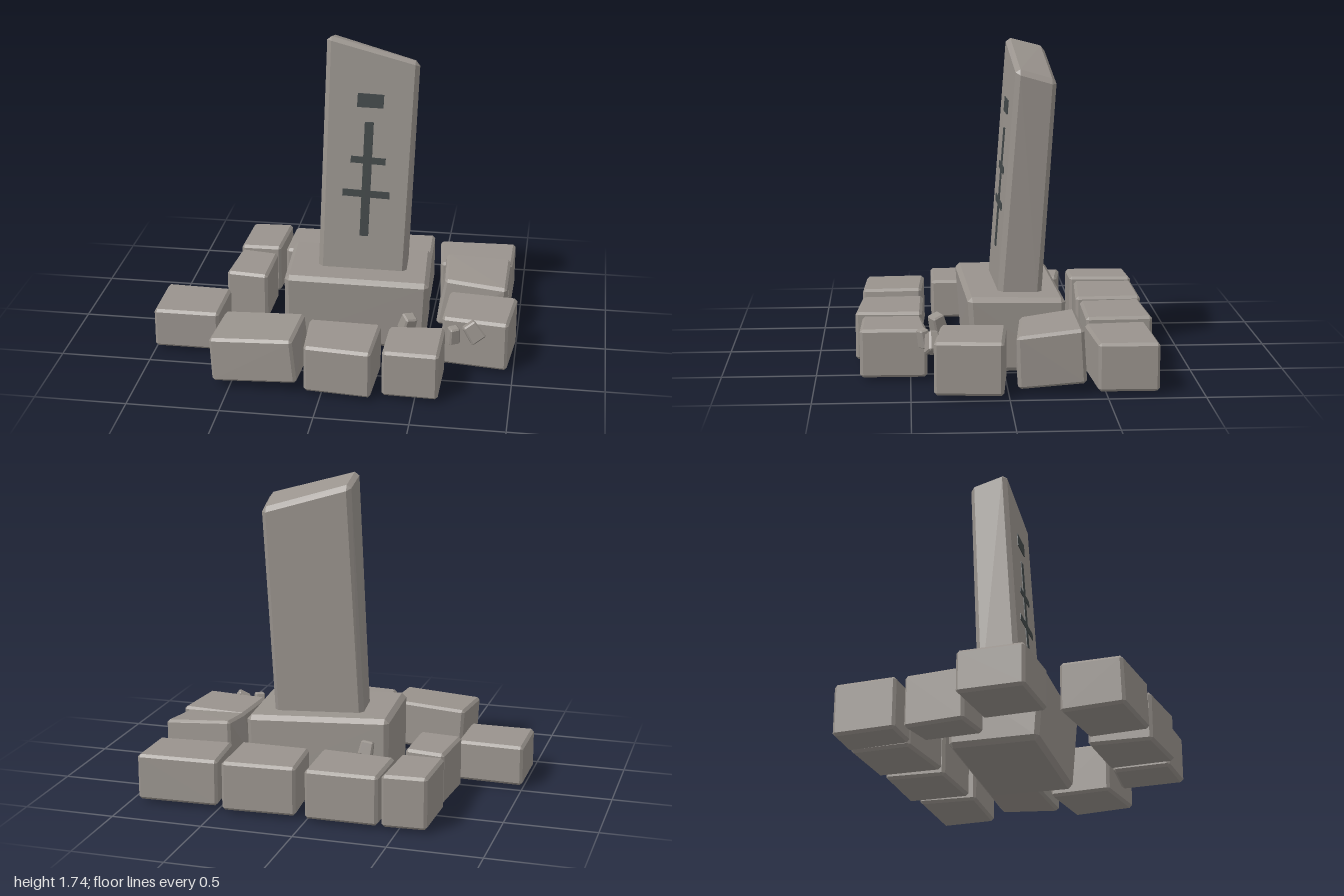
import * as THREE from 'three';
import { ConvexGeometry } from 'three/addons/geometries/ConvexGeometry.js';

const stone = new THREE.MeshStandardMaterial({ color: 0x99938d });
stone.name = 'stone';
const carving = new THREE.MeshStandardMaterial({ color: 0x424849 });
carving.name = 'carved mark';

// Bevelled six-sided block. Quads are [x, z] corners in plan:
// back -x, back +x, front +x, front -x; heights are one number or one per corner.
function blockGeometry(top, topY, bottom, bottomY, bevel) {
  const ring = (quad, y) => quad.map(([x, z], i) => new THREE.Vector3(x, Array.isArray(y) ? y[i] : y, z));
  const hi = ring(top, topY), lo = ring(bottom, bottomY);
  const mix = (a, b, t) => a.clone().lerp(b, t);
  const layer = (q, u, w) => mix(mix(q[0], q[1], u), mix(q[3], q[2], u), w);
  const at = (u, v, w) => mix(layer(lo, u, w), layer(hi, u, w), v);
  const bu = bevel / hi[0].distanceTo(hi[1]);
  const bv = bevel / hi[0].distanceTo(lo[0]);
  const bw = bevel / hi[0].distanceTo(hi[3]);
  const inset = (s, b) => (s ? 1 - b : b);
  const points = [];
  for (const u of [0, 1]) for (const v of [0, 1]) for (const w of [0, 1]) {
    const iu = inset(u, bu), iv = inset(v, bv), iw = inset(w, bw);
    points.push(at(u, iv, iw), at(iu, v, iw), at(iu, iv, w));
  }
  return new ConvexGeometry(points);
}

function block(name, top, topY, bottom = top, bottomY = 0.02, bevel = 0.015) {
  const mesh = new THREE.Mesh(blockGeometry(top, topY, bottom, bottomY, bevel), stone);
  mesh.name = name;
  return mesh;
}

// Small tumbled fragment
function fragment(name, size, position, rotation) {
  const [w, h, d] = size.map((s) => s / 2);
  const quad = [[-w, -d], [w, -d], [w, d], [-w, d]];
  const mesh = block(name, quad.map(([x, z]) => [x * 0.85, z * 0.85]), h, quad, -h, 0.008);
  mesh.position.set(...position);
  mesh.rotation.set(...rotation);
  return mesh;
}

export function createModel() {
  const model = new THREE.Group();
  model.name = 'stoneMonument';

  // Pedestal and leaning pillar with a slanted top
  model.add(block('pedestal',
    [[-0.315, -0.285], [0.485, -0.33], [0.515, 0.195], [-0.285, 0.24]], [0.43, 0.40, 0.415, 0.44],
    [[-0.31, -0.28], [0.475, -0.325], [0.495, 0.165], [-0.29, 0.21]], [0.02, 0, 0, 0.02], 0.025));
  model.add(block('pillar',
    [[-0.09, -0.255], [0.40, -0.285], [0.42, -0.067], [-0.085, -0.04]], [1.70, 1.55, 1.615, 1.755],
    [[-0.147, -0.18], [0.36, -0.21], [0.37, 0.028], [-0.122, 0.058]], 0.38, 0.025));

  // Ring of paving stones
  const paving = new THREE.Group();
  paving.name = 'pavingStones';
  const flat = [
    ['backStone1', [[-0.655, -0.785], [-0.415, -0.797], [-0.43, -0.44], [-0.665, -0.435]], 0.305],
    ['backStone2', [[-0.395, -0.795], [0, -0.797], [0.01, -0.43], [-0.40, -0.46]], 0.29],
    ['backStone3', [[0.055, -0.78], [0.46, -0.80], [0.47, -0.44], [0.08, -0.445]], 0.29],
    ['backStone4', [[0.50, -0.755], [0.95, -0.77], [0.945, -0.455], [0.53, -0.425]], 0.275],
    ['rightMiddleStone', [[-0.65, -0.395], [-0.43, -0.36], [-0.435, -0.035], [-0.675, -0.06]], 0.305],
    ['outlyingStone', [[-1, 0.015], [-0.63, 0.03], [-0.635, 0.37], [-1, 0.37]], 0.245],
    ['leftStone', [[0.62, -0.005], [1, 0.03], [0.965, 0.385], [0.605, 0.34]], 0.30],
    ['frontMiddleStone', [[-0.11, 0.425], [0.285, 0.435], [0.27, 0.797], [-0.09, 0.765]], 0.285],
    ['frontLeftStone', [[0.33, 0.44], [0.63, 0.41], [0.625, 0.765], [0.325, 0.755]], 0.28],
  ];
  for (const [name, quad, height] of flat) paving.add(block(name, quad, height));

  // Two displaced, tilted stones
  paving.add(block('tiltedLeftStone',
    [[0.57, -0.365], [0.94, -0.38], [0.935, -0.035], [0.585, -0.075]], [0.37, 0.35, 0.31, 0.33],
    [[0.555, -0.39], [0.93, -0.40], [0.92, -0.045], [0.535, -0.06]], [0.085, 0.06, 0.03, 0.055]));
  paving.add(block('tiltedFrontStone',
    [[-0.58, 0.415], [-0.135, 0.435], [-0.155, 0.765], [-0.605, 0.75]], [0.295, 0.32, 0.31, 0.285],
    [[-0.565, 0.41], [-0.11, 0.43], [-0.13, 0.765], [-0.59, 0.755]], [0.035, 0.06, 0.06, 0.035]));
  model.add(paving);

  // Broken fragments
  model.add(
    fragment('fragment1', [0.08, 0.10, 0.08], [0.42, 0.26, 0.355], [0.35, 0.5, -0.3]),
    fragment('fragment2', [0.065, 0.10, 0.06], [0.675, 0.245, 0.43], [0.2, 0.5, -0.05]),
    fragment('fragment3', [0.09, 0.11, 0.06], [0.78, 0.25, 0.39], [-0.2, 0.3, 0.6]),
    fragment('fragment4', [0.08, 0.08, 0.06], [-0.2, 0.27, -0.305], [0.2, 0.1, 0.15]),
  );

  // Shallow marks lying along the pillar's front face
  const marks = new THREE.Group();
  marks.name = 'carvedMarks';
  const outlines = [
    ['topDash', [[0.083, 1.36], [0.227, 1.355], [0.23, 1.43], [0.087, 1.438]]],
    ['verticalStroke', [[0.107, 0.62], [0.155, 0.62], [0.176, 1.275], [0.127, 1.275]]],
    ['upperCrossbar', [[0.05, 1.045], [0.243, 1.033], [0.245, 1.07], [0.055, 1.082]]],
    ['lowerCrossbar', [[0.008, 0.853], [0.27, 0.838], [0.27, 0.877], [0.01, 0.892]]],
  ];
  for (const [name, pts] of outlines) {
    const shape = new THREE.Shape(pts.map(([x, y]) => new THREE.Vector2(x, y)));
    const geo = new THREE.ExtrudeGeometry(shape, { depth: 0.008, bevelEnabled: false });
    const p = geo.attributes.position;
    for (let i = 0; i < p.count; i++) {
      const x = p.getX(i), y = p.getY(i);
      p.setZ(i, p.getZ(i) + 0.055 - 0.06 * (x + 0.12) - 0.072 * (y - 0.38));
    }
    geo.computeVertexNormals();
    const mesh = new THREE.Mesh(geo, carving);
    mesh.name = name;
    marks.add(mesh);
  }
  model.add(marks);
  return model;
}
